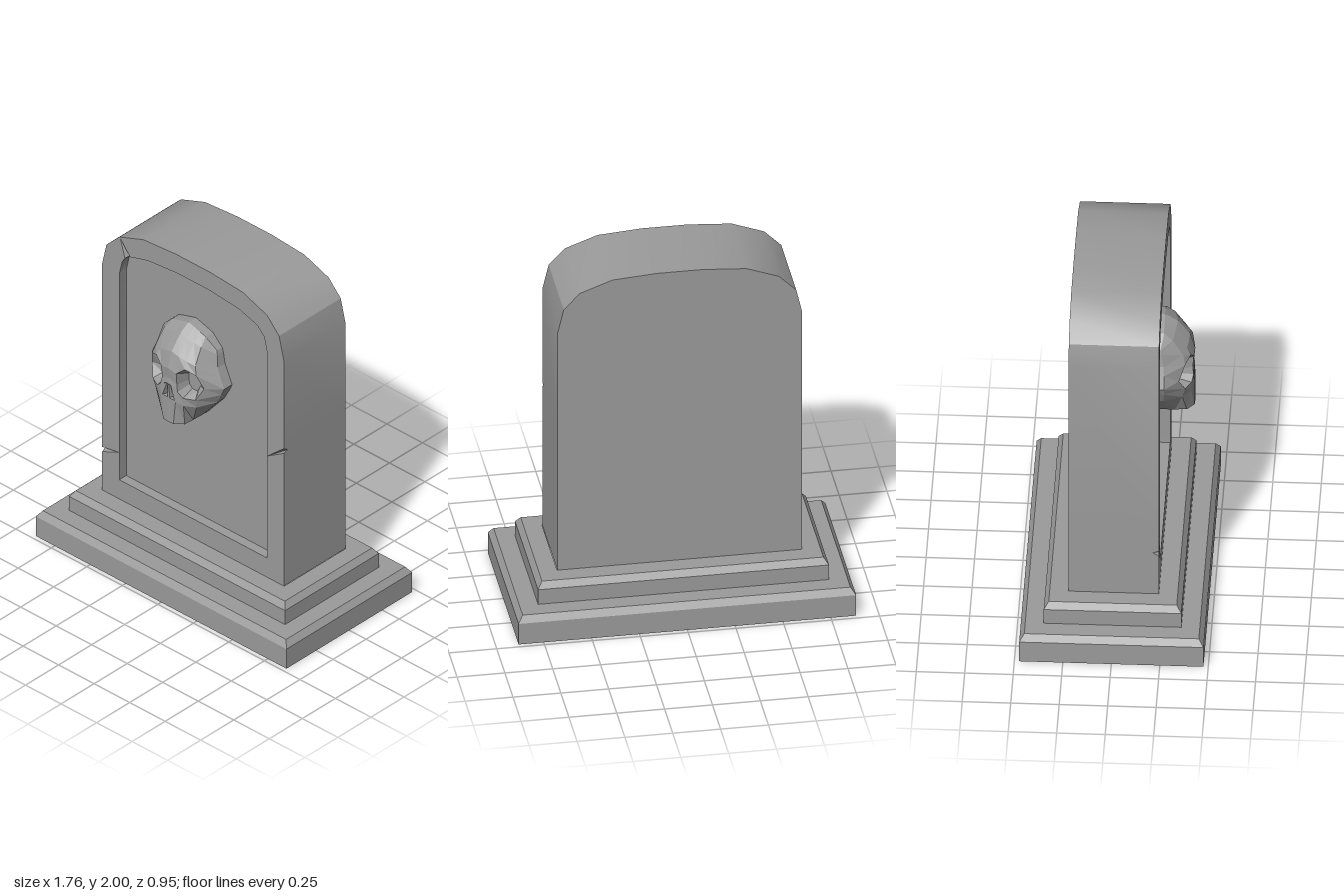
import * as THREE from 'three';
import { toCreasedNormals } from 'three/addons/utils/BufferGeometryUtils.js';

const material = new THREE.MeshStandardMaterial({ color: 0x9b9b9b, side: THREE.DoubleSide });
const v3 = (x, y, z) => new THREE.Vector3(x, y, z);

// Flat-faced geometry from a list of convex polygons
function polygons(list) {
  const points = [];
  for (const p of list) {
    for (let i = 1; i < p.length - 1; i++) points.push(p[0], p[i], p[i + 1]);
  }
  const geometry = new THREE.BufferGeometry().setFromPoints(points);
  geometry.computeVertexNormals();
  return geometry;
}

function addMesh(group, name, geometry) {
  const mesh = new THREE.Mesh(geometry, material);
  mesh.name = name;
  group.add(mesh);
}

// Stepped plinth, open underneath: half width, height, half depth of each ring
function createPlinth() {
  const group = new THREE.Group();
  group.name = 'plinth';
  const rings = [
    [0.882, 0, 0.475], [0.882, 0.122, 0.475], [0.856, 0.158, 0.45],
    [0.76, 0.158, 0.355], [0.76, 0.245, 0.355], [0.735, 0.28, 0.33], [0.64, 0.28, 0.233],
  ].map(([x, y, z]) => [v3(-x, y, z), v3(x, y, z), v3(x, y, -z), v3(-x, y, -z)]);
  const faces = [];
  for (let r = 0; r < rings.length - 1; r++) {
    for (let i = 0; i < 4; i++) {
      const j = (i + 1) % 4;
      faces.push([rings[r][i], rings[r][j], rings[r + 1][j], rings[r + 1][i]]);
    }
  }
  addMesh(group, 'plinthSteps', polygons(faces));
  return group;
}

// Outlines run clockwise; an entry with four numbers is the valley of a crack and its tip
const outer = [
  [-0.64, 0.28], [-0.64, 0.52], [-0.64, 0.54, -0.523, 0.57], [-0.64, 0.55],
  [-0.64, 1.7], [-0.61, 1.83], [-0.52, 1.92], [-0.35, 1.983], [-0.12, 2],
  [0.12, 2], [0.35, 1.983], [0.52, 1.92], [0.605, 1.83], [0.638, 1.69],
  [0.638, 1.14], [0.638, 1.12, 0.523, 1.04], [0.638, 1.11], [0.638, 0.28],
];
const inner = [
  [-0.52, 0.4], [-0.52, 1.69], [-0.5, 1.775], [-0.48, 1.805],
  [-0.462, 1.82, -0.513, 1.915], [-0.445, 1.83], [-0.32, 1.866], [-0.11, 1.885],
  [0.11, 1.885], [0.32, 1.866], [0.45, 1.825], [0.5, 1.775], [0.52, 1.69], [0.52, 0.4],
];
const FRONT = 0.233, PANEL = 0.18, BACK = -0.233, VALLEY = 0.203;

function createHeadstone() {
  const group = new THREE.Group();
  group.name = 'headstone';
  const atZ = (path, z) => path.map(([x, y]) => v3(x, y, z));
  const edge = (path) => path.map((p) => v3(p[0], p[1], p.length > 2 ? VALLEY : FRONT));
  const flat = (path) => path.map((p) => new THREE.Vector2(...p.slice(-2)));

  // Side walls and back
  const rim = edge(outer), back = atZ(outer, BACK);
  const walls = [];
  for (let i = 0; i < rim.length - 1; i++) walls.push([rim[i], rim[i + 1], back[i + 1], back[i]]);
  addMesh(group, 'sideWalls', toCreasedNormals(polygons(walls), 0.5));
  addMesh(group, 'backFace', polygons([back]));

  // Raised border
  const border = new THREE.Shape(flat(outer));
  border.holes.push(new THREE.Path(flat(inner)));
  addMesh(group, 'raisedBorder', new THREE.ShapeGeometry(border).translate(0, 0, FRONT));

  // Sunken panel
  const lip = edge(inner), floor = atZ(inner, PANEL);
  const sides = lip.map((p, i) => {
    const j = (i + 1) % lip.length;
    return [p, floor[i], floor[j], lip[j]];
  });
  addMesh(group, 'panelWalls', toCreasedNormals(polygons(sides), 0.5));
  addMesh(group, 'sunkenPanel', polygons([[...floor].reverse()]));

  // V-shaped cracks across the border
  const cracks = [];
  for (const [path, points, flip] of [[outer, rim, false], [inner, lip, true]]) {
    path.forEach((p, i) => {
      if (p.length < 4) return;
      const tip = v3(p[2], p[3], FRONT);
      for (const tri of [[points[i - 1], tip, points[i]], [points[i], tip, points[i + 1]]]) {
        cracks.push(flip ? tri.reverse() : tri);
      }
    });
  }
  addMesh(group, 'cracks', polygons(cracks));
  return group;
}

// Half skull: rows from crown to chin, columns from the middle outwards
const skullRows = [
  [[0, 1.62, 0.235], [0.04, 1.608, 0.235], [0.08, 1.596, 0.235], [0.12, 1.583, 0.235], [0.185, 1.52, 0.22]],
  [[0, 1.58, 0.3], [0.043, 1.568, 0.295], [0.087, 1.556, 0.288], [0.13, 1.545, 0.28], [0.192, 1.5, 0.225]],
  [[0, 1.5, 0.363], [0.045, 1.487, 0.36], [0.09, 1.474, 0.352], [0.14, 1.46, 0.335], [0.205, 1.43, 0.235]],
  [[0, 1.41, 0.39], [0.052, 1.395, 0.385], [0.1, 1.437, 0.372], [0.155, 1.41, 0.345], [0.225, 1.385, 0.24]],
  [[0, 1.345, 0.384], [0.052, 1.325, 0.38], [0.1, 1.34, 0.3], [0.183, 1.325, 0.315], [0.255, 1.32, 0.24]],
  [[0, 1.318, 0.388], [0.06, 1.285, 0.384], [0.09, 1.255, 0.375], [0.15, 1.255, 0.345], [0.235, 1.275, 0.24]],
  [[0, 1.22, 0.39], [0.05, 1.22, 0.388], [0.09, 1.205, 0.372], [0.145, 1.2, 0.33], [0.2, 1.21, 0.235]],
  [[0, 1.075, 0.39], [0.035, 1.075, 0.388], [0.08, 1.075, 0.35], [0.084, 1.075, 0.29], [0.087, 1.075, 0.22]],
];
const eyeLoop = [[3, 1], [4, 1], [5, 1], [5, 2], [5, 3], [4, 3], [3, 3], [3, 2]];
const nostril = [[0.005, 1.31, 0.387], [0.007, 1.226, 0.389], [0.042, 1.226, 0.388], [0.012, 1.31, 0.386]];

function createSkull() {
  // Continue every edge back into the panel
  const toPanel = ([x, y]) => [x, y, 0.17];
  const front = skullRows.map((row) => [...row, toPanel(row[4])]);
  const grid = [front[0].map(toPanel), ...front, front[7].map(toPanel)]
    .map((row) => row.map((p) => v3(...p)));

  const half = [];
  const ring = (a, b) => a.forEach((p, i) => {
    const j = (i + 1) % a.length;
    half.push([p, a[j], b[j], b[i]]);
  });
  for (let r = 0; r < grid.length - 1; r++) {
    for (let c = 0; c < 5; c++) {
      const cell = [grid[r][c], grid[r + 1][c], grid[r + 1][c + 1], grid[r][c + 1]];
      if ((r === 4 || r === 5) && (c === 1 || c === 2)) continue;
      if (r === 6 && c === 0) {
        // Nostril, narrowing to a deep slit
        const hole = nostril.map((p) => v3(...p));
        const bottom = hole.map((p) => v3(0.016 + 0.15 * (p.x - 0.016), p.y, 0.34));
        ring(cell, hole);
        ring(hole, bottom);
        half.push(bottom);
      } else half.push(cell);
    }
  }

  // Eye socket, its floor set towards the nose
  const socket = eyeLoop.map(([r, c]) => grid[r + 1][c]);
  const centre = v3(0.082, 1.315, 0);
  const bottom = socket.map((p) => {
    const q = p.clone().lerp(centre, 0.38);
    q.z = 0.3;
    return q;
  });
  ring(socket, bottom);
  half.push(bottom);

  // Mirror the half
  const mirrored = half.map((face) => face.map((p) => v3(-p.x, p.y, p.z)).reverse());
  const group = new THREE.Group();
  group.name = 'skull';
  addMesh(group, 'skullCarving', polygons([...half, ...mirrored]));
  group.position.x = -0.03;
  return group;
}

export function createModel() {
  const model = new THREE.Group();
  model.name = 'gravestone';
  model.add(createPlinth(), createHeadstone(), createSkull());
  return model;
}
